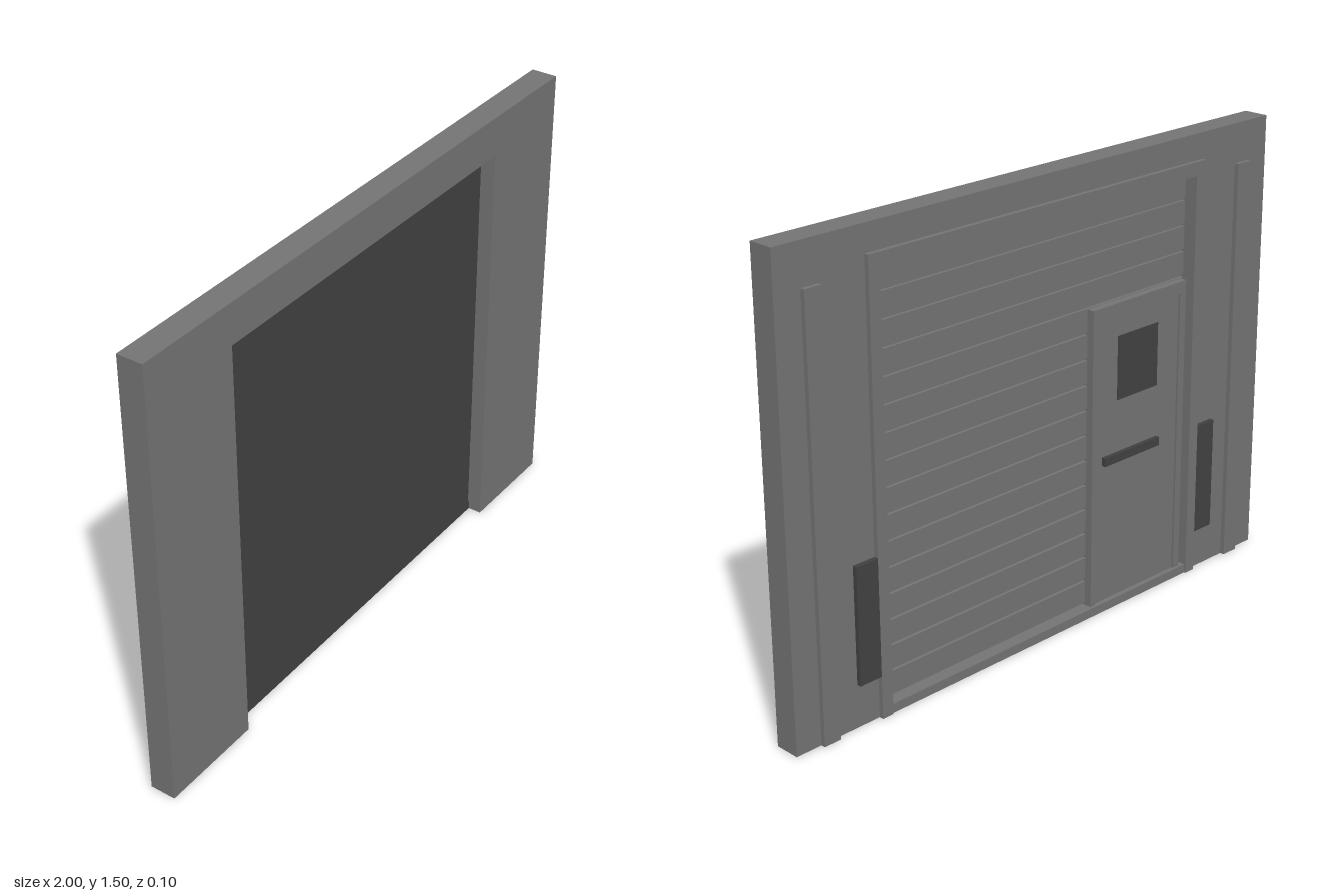
import * as THREE from 'three';

export function createModel() {
  const model = new THREE.Group();
  model.name = 'garageDoorWall';

  const grey = new THREE.MeshStandardMaterial({ color: 0x737373 });
  grey.name = 'grey panel';
  const dark = new THREE.MeshStandardMaterial({ color: 0x414141 });
  dark.name = 'dark grey';

  // box given by its limits on each axis
  function box(name, material, x0, x1, y0, y1, z0, z1, parent = model) {
    const mesh = new THREE.Mesh(new THREE.BoxGeometry(x1 - x0, y1 - y0, z1 - z0), material);
    mesh.position.set((x0 + x1) / 2, (y0 + y1) / 2, (z0 + z1) / 2);
    mesh.name = name;
    parent.add(mesh);
    return mesh;
  }

  // upside-down U: a slab with a doorway open at the bottom
  function portal(name, x0, x1, top, inX0, inX1, inTop, bottom, z0, z1, parent = model) {
    const points = [
      [x0, bottom], [inX0, bottom], [inX0, inTop], [inX1, inTop],
      [inX1, bottom], [x1, bottom], [x1, top], [x0, top],
    ].map(([x, y]) => new THREE.Vector2(x, y));
    const geometry = new THREE.ExtrudeGeometry(new THREE.Shape(points), { depth: z1 - z0, bevelEnabled: false });
    geometry.translate(0, 0, z0);
    const mesh = new THREE.Mesh(geometry, grey);
    mesh.name = name;
    parent.add(mesh);
  }

  // wall and the trim around its opening
  portal('wall', -1, 1, 1.5, -0.65, 0.65, 1.37, 0, -0.035, 0.05);
  portal('doorFrame', -0.69, 0.69, 1.415, -0.65, 0.65, 1.37, 0, -0.05, -0.035);

  // sill under the door
  box('sill', grey, -0.65, 0.65, 0, 0.03, -0.045, 0);
  box('sillFront', dark, -0.65, 0.65, 0, 0.03, 0, 0.005);

  // slatted door with a dark inner face
  const door = new THREE.Group();
  door.name = 'door';
  model.add(door);
  box('doorBacking', grey, -0.643, 0.643, 0.03, 1.37, 0, 0.002, door);
  box('doorInnerFace', dark, -0.643, 0.643, 0.03, 1.37, 0.002, 0.005, door);
  const count = 16;
  const pitch = 1.34 / count;
  for (let i = 0; i < count; i++) {
    const y = 0.03 + i * pitch;
    box('slat', grey, -0.643, 0.643, y + 0.01, y + pitch, -0.01, 0, door);
  }

  // small walk-through door
  const wicket = new THREE.Group();
  wicket.name = 'walkDoor';
  model.add(wicket);
  portal('walkDoorFrame', -0.63, -0.204, 1.033, -0.603, -0.228, 0.995, 0.03, -0.035, 0, wicket);
  box('walkDoorLeaf', grey, -0.603, -0.228, 0.03, 0.995, -0.028, 0, wicket);
  box('window', dark, -0.505, -0.322, 0.71, 0.922, -0.031, -0.028, wicket);
  box('pushBar', dark, -0.51, -0.257, 0.505, 0.534, -0.042, -0.028, wicket);

  // vertical strips and dark boxes beside the frame
  for (const s of [-1, 1]) {
    const side = s > 0 ? 'left' : 'right';
    box(side + 'Strip', grey, s * 0.88 - 0.03, s * 0.88 + 0.03, 0, 1.37, -0.05, -0.035);
    box(side + 'ControlBox', dark, s * 0.73 - 0.04, s * 0.73 + 0.04, 0.14, 0.52, -0.05, -0.035);
  }

  return model;
}
